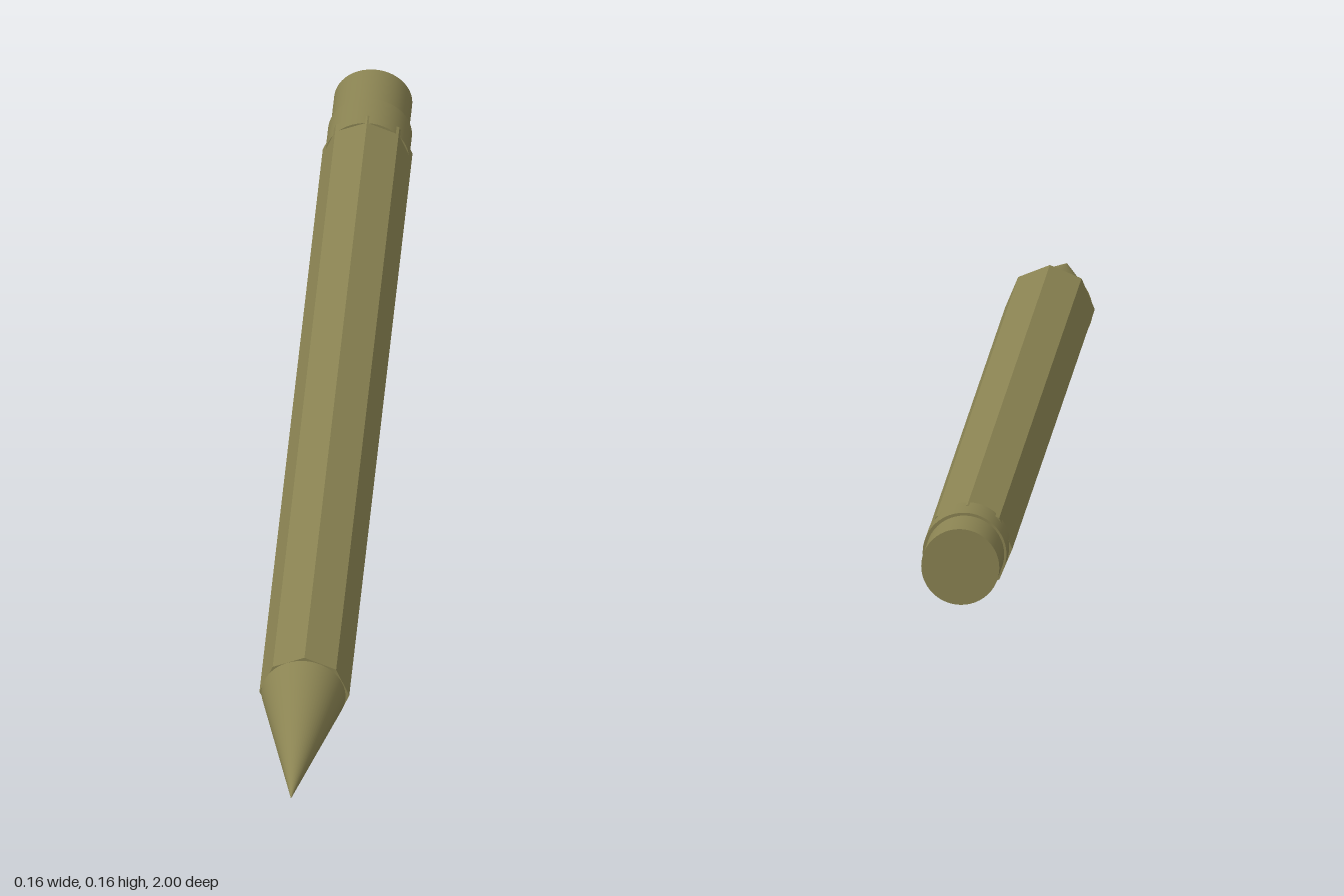
import * as THREE from 'three';

export function createModel() {
  const group = new THREE.Group();
  group.name = 'pencil';
  const smooth = new THREE.MeshStandardMaterial({ color: 0x8a8352 });
  const faceted = smooth.clone();
  faceted.flatShading = true;

  // A round or faceted section running between two points on the axis
  function section(name, from, to, rFrom, rTo, sides, material) {
    const a = new THREE.Vector3(...from);
    const b = new THREE.Vector3(...to);
    const dir = b.clone().sub(a);
    const geometry = new THREE.CylinderGeometry(rTo, rFrom, dir.length(), sides);
    const mesh = new THREE.Mesh(geometry, material);
    mesh.name = name;
    mesh.position.copy(a).add(b).multiplyScalar(0.5);
    mesh.quaternion.setFromUnitVectors(new THREE.Vector3(0, 1, 0), dir.normalize());
    group.add(mesh);
  }

  // Eight-sided shaft, a hair off level
  section('shaft', [-0.0015, 0.079, -0.86], [0.0015, 0.087, 0.7], 0.078, 0.078, 8, faceted);

  // Sharpened point
  section('tip', [0, 0.085, 0.7], [0, 0.087, 1], 0.073, 0, 64, smooth);

  // Collar and eraser at the back end
  section('collar', [-0.001, 0.083, -0.91], [-0.001, 0.083, -0.84], 0.073, 0.073, 48, smooth);
  section('eraser', [-0.002, 0.083, -1], [-0.002, 0.083, -0.88], 0.068, 0.068, 48, smooth);

  return group;
}
